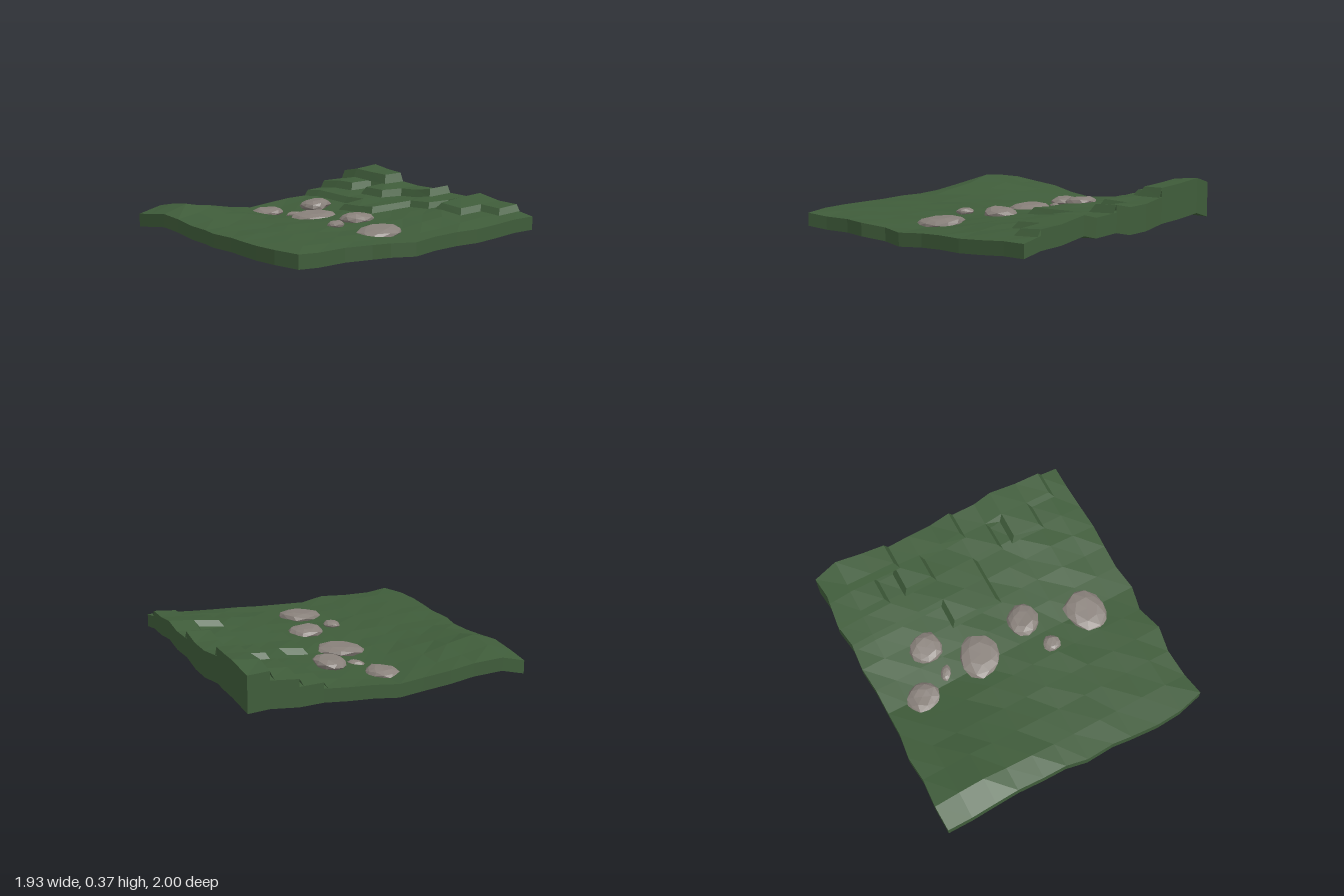
import * as THREE from 'three';
import { mergeVertices } from 'three/addons/utils/BufferGeometryUtils.js';

// grid lines, wavy outer edges and terrace level of every back cell
const XS = [-0.96, -0.79, -0.61, -0.44, -0.25, -0.08, 0.07, 0.27, 0.4, 0.6, 0.78, 0.95];
const ZS = [-0.98, -0.82, -0.64, -0.47, -0.3, -0.13, 0.05, 0.22, 0.4, 0.58, 0.78, 0.95];
const LEFT = [-0.96, -0.945, -0.97, -0.945, -0.96, -0.945, -0.945, -0.945, -0.97, -0.955, -0.97, -0.965];
const RIGHT = [0.93, 0.93, 0.94, 0.95, 0.94, 0.935, 0.96, 0.92, 0.965, 0.93, 0.94, 0.965];
const FRONT = [0.95, 0.955, 0.95, 0.94, 0.945, 0.945, 0.975, 0.965, 0.98, 0.995, 0.985, 0.94];
const BACK = [-0.97, -1, -0.98, -0.965, -0.98, -0.98, -0.985, -0.985, -0.995, -0.985, -0.98, -0.98];
const LEVELS = ['33322211110', '22121110100', '11111100000', '00001100000'];
const STEP = [0, 0.04, 0.09, 0.15];
const N = 11, THICK = 0.09, BEVEL = 0.03;

// ground height along a few rows, keyed by row number
const ROWS = [
  [0, [0.175, 0.225, 0.205, 0.195, 0.175, 0.175, 0.21, 0.205, 0.24, 0.21, 0.205, 0.18]],
  [3, [0.165, 0.17, 0.17, 0.165, 0.165, 0.165, 0.17, 0.175, 0.18, 0.18, 0.165, 0.15]],
  [6, [0.11, 0.1, 0.095, 0.1, 0.115, 0.13, 0.135, 0.135, 0.125, 0.12, 0.115, 0.115]],
  [8, [0.15, 0.15, 0.155, 0.15, 0.14, 0.135, 0.14, 0.14, 0.135, 0.135, 0.135, 0.13]],
  [10, [0.19, 0.215, 0.235, 0.2, 0.17, 0.15, 0.145, 0.145, 0.145, 0.145, 0.14, 0.13]],
  [11, [0.14, 0.16, 0.18, 0.165, 0.145, 0.14, 0.14, 0.14, 0.14, 0.14, 0.14, 0.135]],
];

function height(i, j) {
  const k = Math.min(ROWS.findIndex(([r]) => r >= j) || 1, ROWS.length - 1);
  const [r0, a] = ROWS[k - 1], [r1, b] = ROWS[k];
  const ripple = j > 0 && j < N && j !== 6 ? 0.005 * Math.sin(i * 2.3 + j * 1.7) : 0;
  return THREE.MathUtils.lerp(a[i], b[i], (j - r0) / (r1 - r0)) + ripple;
}

function point(i, j, dy = 0) {
  const x = i === 0 ? LEFT[j] : i === N ? RIGHT[j] : XS[i];
  const z = j === 0 ? BACK[i] : j === N ? FRONT[i] : ZS[j];
  return [x, height(i, j) + dy, z];
}

const clampCell = (v) => Math.min(Math.max(v, 0), N - 1);
const level = (i, j) => Number((LEVELS[clampCell(j)] || '')[clampCell(i)] || 0);

// foot of a terrace wall, pushed outwards from the terrace
function foot(i, j, l) {
  let ox = 0, oz = 0;
  for (const a of [-1, 0]) for (const b of [-1, 0]) {
    if (level(i + a, j + b) >= l) { ox -= a * 2 + 1; oz -= b * 2 + 1; }
  }
  const [x, y, z] = point(i, j, STEP[l - 1] - 0.003);
  return [x + BEVEL * Math.sign(ox), y, z + BEVEL * Math.sign(oz)];
}

function meshFromQuads(name, quads, material) {
  const g = new THREE.BufferGeometry();
  const pos = quads.flatMap(([a, b, c, d]) => [a, b, c, a, c, d]).flat();
  g.setAttribute('position', new THREE.Float32BufferAttribute(pos, 3));
  g.computeVertexNormals();
  const m = new THREE.Mesh(g, material);
  m.name = name;
  return m;
}

function makeStone(x, z, rx, ry, rz, seed, material) {
  const base = new THREE.IcosahedronGeometry(1, 1);
  base.deleteAttribute('normal');
  base.deleteAttribute('uv');
  const g = mergeVertices(base, 1e-3);
  const p = g.attributes.position;
  for (let k = 0; k < p.count; k++) {
    const s = 1 + 0.09 * Math.sin(k * 12.9 + seed * 4.1);
    p.setXYZ(k, p.getX(k) * rx * s, Math.min(p.getY(k), 0.85) * ry * s, p.getZ(k) * rz * s);
  }
  g.computeVertexNormals();
  const m = new THREE.Mesh(g, material);
  const nearest = (arr, v) => arr.reduce((b, a, k) => (Math.abs(a - v) < Math.abs(arr[b] - v) ? k : b), 0);
  m.position.set(x, height(nearest(XS, x), nearest(ZS, z)) + 0.008, z);
  m.rotation.set(0.06, seed * 0.3, 0.05 * Math.sin(seed));
  m.name = 'stone' + seed;
  return m;
}

export function createModel() {
  const group = new THREE.Group();
  group.name = 'terrainTile';
  const grass = new THREE.MeshStandardMaterial({ color: 0x3f5c3a, flatShading: true, side: THREE.DoubleSide });
  const rock = new THREE.MeshStandardMaterial({ color: 0x88807a, flatShading: true });

  // ground surface, terrace tops and terrace walls
  const tops = [], walls = [], under = [], rim = [];
  for (let j = 0; j < N; j++) for (let i = 0; i < N; i++) {
    const l = level(i, j);
    const corners = [[i, j], [i, j + 1], [i + 1, j + 1], [i + 1, j]];
    tops.push(corners.map(([a, b]) => point(a, b, STEP[l])));
    under.push(corners.map(([a, b]) => point(a, b, -THICK)).reverse());
    const sides = [[-1, 0], [0, 1], [1, 0], [0, -1]];
    sides.forEach(([dx, dz], s) => {
      const p = corners[s], q = corners[(s + 1) % 4];
      const ni = i + dx, nj = j + dz;
      if (ni < 0 || nj < 0 || ni >= N || nj >= N) {
        // outer rim of the slab
        rim.push([point(...p, STEP[l]), point(...p, -THICK), point(...q, -THICK), point(...q, STEP[l])]);
        return;
      }
      for (let t = level(ni, nj) + 1; t <= l; t++) {
        walls.push([point(...p, STEP[t]), foot(...p, t), foot(...q, t), point(...q, STEP[t])]);
      }
    });
  }
  group.add(meshFromQuads('groundSurface', tops, grass));
  group.add(meshFromQuads('terraceWalls', walls, grass));
  group.add(meshFromQuads('underside', under, grass));
  group.add(meshFromQuads('outerRim', rim, grass));

  // half-buried stones: x, z, half-sizes in x, y, z
  [
    [-0.51, -0.22, 0.115, 0.045, 0.11],
    [-0.69, 0.06, 0.115, 0.045, 0.11],
    [-0.47, -0.02, 0.06, 0.022, 0.035],
    [-0.205, -0.01, 0.16, 0.045, 0.145],
    [0.16, -0.09, 0.115, 0.045, 0.11],
    [0.26, 0.15, 0.06, 0.025, 0.06],
    [0.59, 0.05, 0.16, 0.045, 0.14],
  ].forEach((s, k) => group.add(makeStone(...s, k + 1, rock)));

  return group;
}
